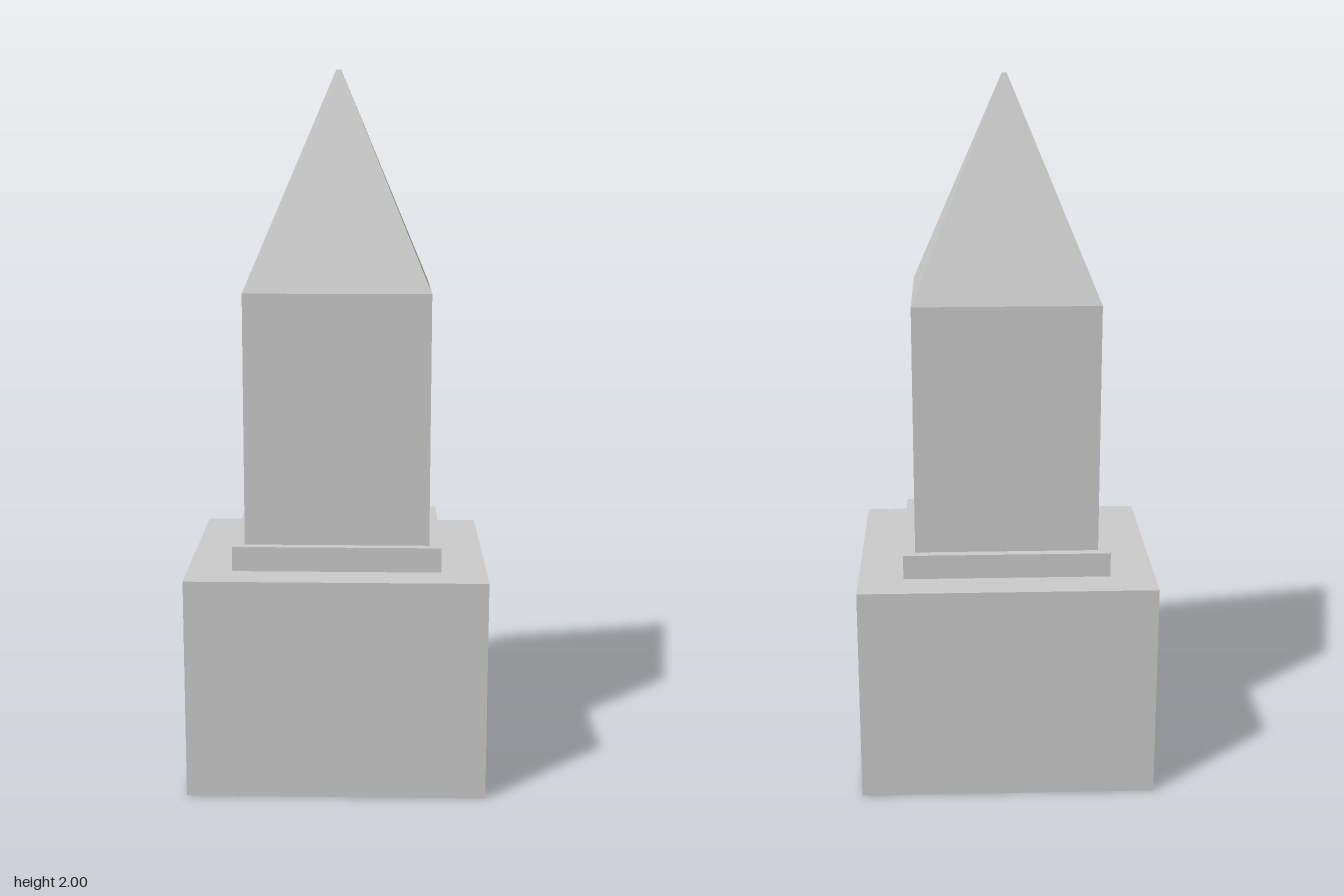
import * as THREE from 'three';

const material = new THREE.MeshStandardMaterial({ color: 0xcccccc, flatShading: true });

// Rectangular block from y0 to y1; its top face is scaled by taper
function block(name, width, depth, y0, y1, taper = 1) {
  const geometry = new THREE.BoxGeometry(width, y1 - y0, depth);
  geometry.translate(0, (y0 + y1) / 2, 0);
  const p = geometry.attributes.position;
  const middle = (y0 + y1) / 2;
  for (let i = 0; i < p.count; i++) {
    if (p.getY(i) > middle) {
      p.setX(i, p.getX(i) * taper);
      p.setZ(i, p.getZ(i) * taper);
    }
  }
  geometry.computeVertexNormals();
  const mesh = new THREE.Mesh(geometry, material);
  mesh.name = name;
  return mesh;
}

export function createModel() {
  const model = new THREE.Group();
  model.name = 'obelisk';
  model.add(
    block('pedestal', 0.837, 0.679, 0, 0.625),
    block('plinth', 0.584, 0.473, 0.625, 0.695),
    block('shaft', 0.517, 0.421, 0.695, 1.4),
    block('pointedCap', 0.517, 0.421, 1.4, 2, 0.026),
  );
  // The whole monument stands slightly turned
  model.rotation.y = 0.0315;
  return model;
}
